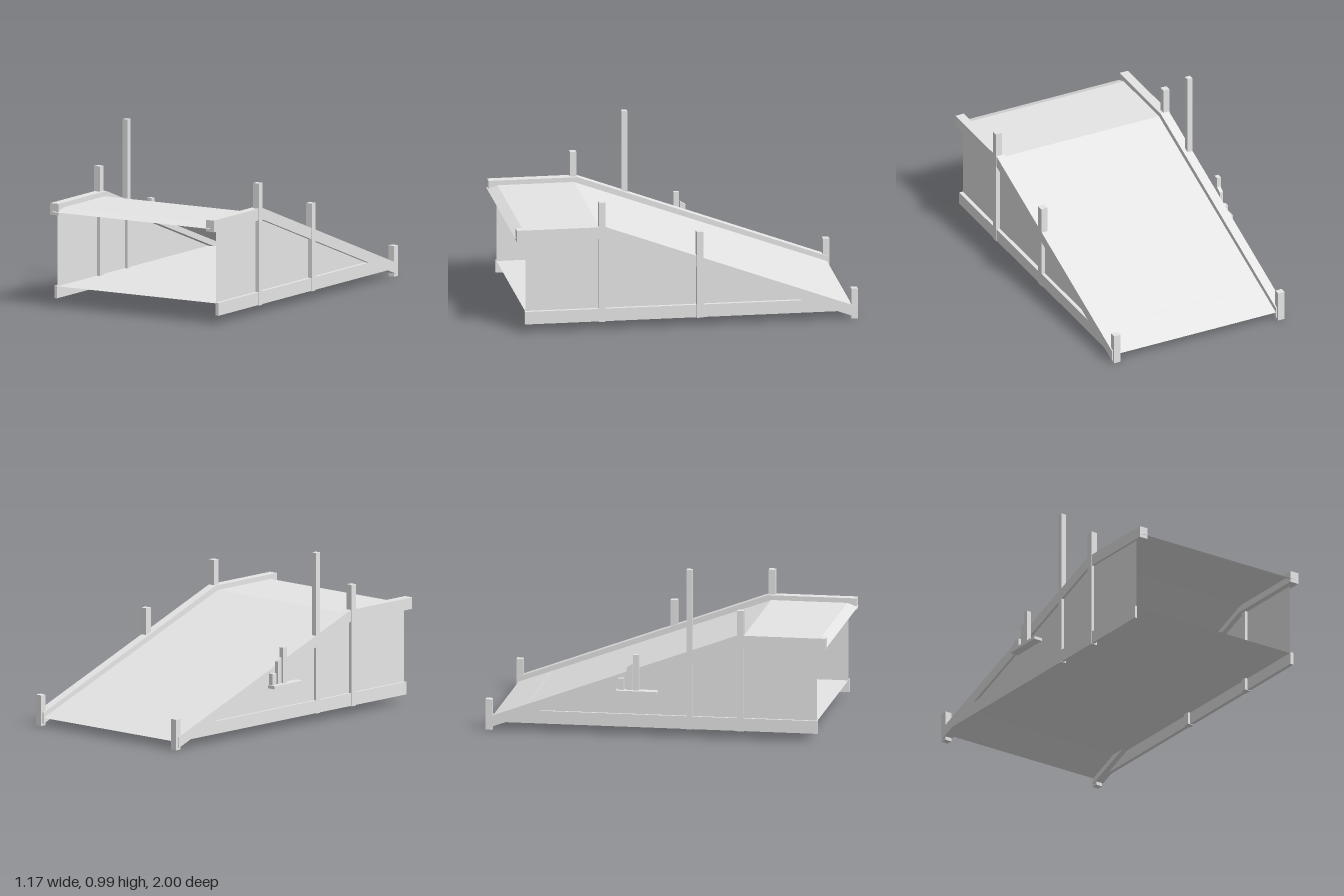
import * as THREE from 'three';

export function createModel() {
  const model = new THREE.Group();
  model.name = 'ramp';
  // Double-sided because the deck, floor and walls are open sheets
  const grey = new THREE.MeshStandardMaterial({ color: 0xe6e6e6, side: THREE.DoubleSide });
  grey.name = 'light grey';
  const bodyRight = -0.52, bodyLeft = 0.56;

  const add = (name, geometry) => {
    const mesh = new THREE.Mesh(geometry, grey);
    mesh.name = name;
    model.add(mesh);
  };
  // Box given by its limits on each axis
  const box = (name, x0, x1, y0, y1, z0, z1) => {
    const g = new THREE.BoxGeometry(x1 - x0, y1 - y0, z1 - z0);
    g.translate((x0 + x1) / 2, (y0 + y1) / 2, (z0 + z1) / 2);
    add(name, g);
  };
  const shapeOf = (pts) => new THREE.Shape(pts.map(([a, b]) => new THREE.Vector2(a, b)));
  // Side profile of [z, y] points, extruded across x
  const profile = (name, pts, x0, x1) => {
    const g = new THREE.ExtrudeGeometry(shapeOf(pts), { depth: x1 - x0, bevelEnabled: false });
    g.rotateY(-Math.PI / 2).translate(x1, 0, 0);
    add(name, g);
  };
  // Outward-facing side wall of [z, y] points
  const wallSheet = (name, pts, x, side) => {
    const g = new THREE.ShapeGeometry(shapeOf(pts.map(([z, y]) => [-side * z, y])));
    g.rotateY(side * Math.PI / 2).translate(x, 0, 0);
    add(name, g);
  };
  // Upward-facing sheet across the body, from a front [z, y] to a back [z, y]
  const crossSheet = (name, [z0, y0], [z1, y1]) => {
    const g = new THREE.BufferGeometry();
    g.setAttribute('position', new THREE.Float32BufferAttribute([
      bodyRight, y0, z0, bodyLeft, y0, z0, bodyLeft, y1, z1, bodyRight, y1, z1], 3));
    g.setIndex([0, 1, 2, 0, 2, 3]);
    g.computeVertexNormals();
    add(name, g);
  };

  // Body: sloping lip, level platform, long ramp, raised floor and side walls
  crossSheet('deckLip', [0.995, 0.563], [0.935, 0.585]);
  crossSheet('platform', [0.935, 0.585], [0.49, 0.585]);
  crossSheet('rampDeck', [0.49, 0.585], [-0.985, 0.047]);
  crossSheet('floor', [0.935, 0.12], [-0.787, 0.12]);
  const wall = [[0.935, 0.12], [0.935, 0.585], [0.49, 0.585], [-0.785, 0.12]];
  wallSheet('leftWall', wall, bodyLeft, 1);
  wallSheet('rightWall', wall, bodyRight, -1);

  // Top rails follow the deck; thin bottom rails run into them
  const topRail = [[0.988, 0.613], [0.47, 0.613], [-0.985, 0.077],
    [-0.985, 0.012], [0.47, 0.545], [0.988, 0.545]];
  const bottomRail = [[0.94, 0.05], [0.94, 0.125], [-0.72, 0.125], [-0.89, 0.05]];
  profile('leftTopRail', topRail, 0.528, 0.582);
  profile('rightTopRail', topRail, -0.535, -0.48);
  profile('leftBottomRail', bottomRail, bodyLeft, 0.582);
  profile('rightBottomRail', bottomRail, -0.535, bodyRight);

  // Upright posts
  box('leftFrontPost', 0.545, 0.585, 0.047, 0.76, 0.472, 0.51);
  box('leftMiddlePost', 0.545, 0.585, 0.047, 0.56, -0.1, -0.06);
  box('leftBackPost', 0.535, 0.575, 0, 0.18, -1, -0.962);
  box('rightFrontPost', -0.538, -0.5, 0.047, 0.76, 0.472, 0.51);
  box('rightTallPost', -0.535, -0.503, 0.047, 0.99, 0.175, 0.208);
  box('rightBackPost', -0.528, -0.487, 0, 0.18, -1, -0.962);

  // Small side shelf with three upright blocks, the middle one slanted on top
  box('shelf', -0.588, -0.535, 0.255, 0.273, -0.23, 0.01);
  box('shelfTallBlock', -0.562, -0.535, 0.273, 0.482, -0.132, -0.1);
  profile('shelfMiddleBlock', [[-0.137, 0.273], [-0.137, 0.425], [-0.17, 0.405], [-0.17, 0.273]], -0.556, -0.535);
  box('shelfShortBlock', -0.562, -0.535, 0.273, 0.34, -0.22, -0.187);

  return model;
}
